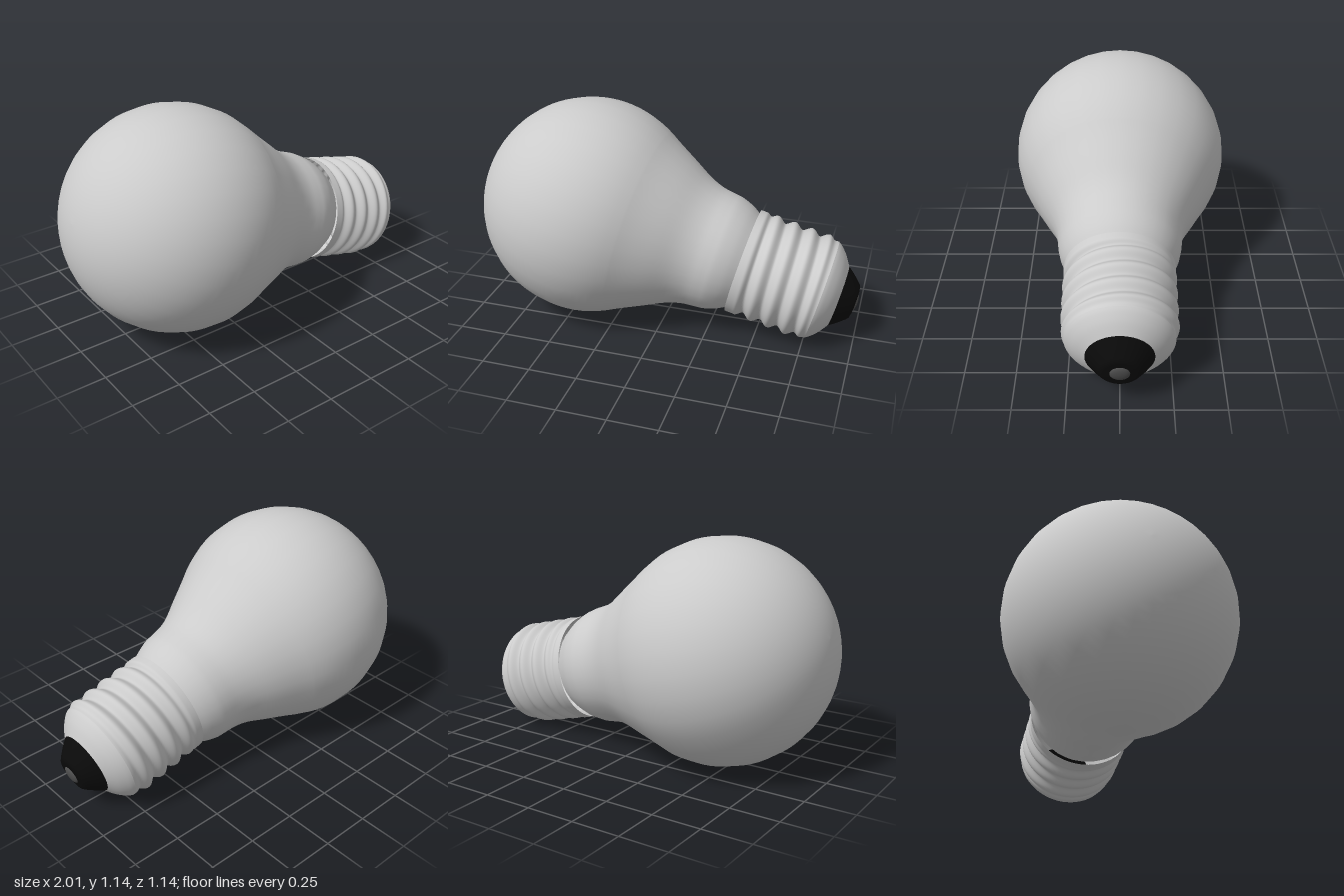
import * as THREE from 'three';
import { mergeVertices } from 'three/addons/utils/BufferGeometryUtils.js';

const TILT = THREE.MathUtils.degToRad(14.2);
const BULB_R = 0.57;
const v2 = (r, t) => new THREE.Vector2(r, t);

function lathe(name, points, segments, color = 0xcccccc) {
  const material = new THREE.MeshStandardMaterial({ color, side: THREE.DoubleSide });
  const mesh = new THREE.Mesh(new THREE.LatheGeometry(points, segments), material);
  mesh.name = name;
  return mesh;
}

// Glass: a sphere that flows into a slightly bulging neck
function glassProfile() {
  const points = [];
  for (let i = 0; i <= 28; i++) {
    const a = -Math.PI / 2 + (i / 28) * (Math.PI / 2 + 0.5);
    points.push(v2(Math.max(0, BULB_R * Math.cos(a)), BULB_R * Math.sin(a)));
  }
  const neck = new THREE.SplineCurve([
    points[points.length - 1],
    v2(0.463, 0.34), v2(0.408, 0.445), v2(0.352, 0.55), v2(0.324, 0.63),
    v2(0.314, 0.7), v2(0.307, 0.748), v2(0.287, 0.805), v2(0.262, 0.85), v2(0.24, 0.885),
  ]);
  return points.concat(neck.getPoints(36).slice(1));
}

// Screw shell: a plain collar followed by a right-handed helical thread
function screwShell() {
  const start = 0.856, end = 1.284, rows = 80, pitch = 0.093;
  const points = [];
  for (let i = 0; i <= rows; i++) points.push(v2(0.278, start + ((end - start) * i) / rows));
  const shell = lathe('screwShell', points, 64);

  const p = shell.geometry.attributes.position;
  for (let i = 0; i < p.count; i++) {
    const t = p.getY(i);
    const angle = Math.atan2(p.getZ(i), -p.getX(i));
    const phase = (t - 0.957) / pitch - angle / (2 * Math.PI);
    const wave = Math.pow(0.5 + 0.5 * Math.cos(phase * 2 * Math.PI), 0.8);
    const begin = THREE.MathUtils.smoothstep(t, 0.89, 0.93);
    const finish = THREE.MathUtils.smoothstep(t, 1.235, 1.28);
    let r = THREE.MathUtils.lerp(0.278, 0.254 + 0.027 * wave, begin);
    r = THREE.MathUtils.lerp(r, 0.262, finish);
    const k = r / Math.hypot(p.getX(i), p.getZ(i));
    p.setXYZ(i, p.getX(i) * k, t, p.getZ(i) * k);
  }
  // Weld the seam so the normals stay smooth all round
  shell.geometry.deleteAttribute('uv');
  shell.geometry.deleteAttribute('normal');
  shell.geometry = mergeVertices(shell.geometry, 1e-4);
  shell.geometry.computeVertexNormals();
  return shell;
}

export function createModel() {
  const model = new THREE.Group();
  model.name = 'lightBulb';

  // Everything is turned around local y, then laid down on its side
  const bulb = new THREE.Group();
  bulb.name = 'bulbAssembly';
  bulb.position.set(-0.43, 0.573, 0);
  bulb.rotation.z = -(Math.PI / 2 + TILT);
  model.add(bulb);

  bulb.add(lathe('glass', glassProfile(), 32));
  bulb.add(screwShell());

  // Rounded taper closing the screw shell
  const taper = new THREE.SplineCurve([
    v2(0.262, 1.284), v2(0.248, 1.305), v2(0.212, 1.34), v2(0.16, 1.375),
  ]);
  bulb.add(lathe('shellTaper', taper.getPoints(12), 64));

  // Black insulator
  bulb.add(lathe('insulator', [
    v2(0.162, 1.374), v2(0.135, 1.41), v2(0.1, 1.449), v2(0.088, 1.459), v2(0.07, 1.463), v2(0, 1.464),
  ], 48, 0x0a0a0a));

  // Domed contact at the tip
  const dome = [];
  for (let i = 0; i <= 6; i++) {
    const a = (i / 6) * (Math.PI / 2);
    dome.push(v2(0.048 * Math.cos(a), 1.461 + 0.016 * Math.sin(a)));
  }
  dome[6].x = 0;
  bulb.add(lathe('contact', dome, 32, 0x505050));

  return model;
}
